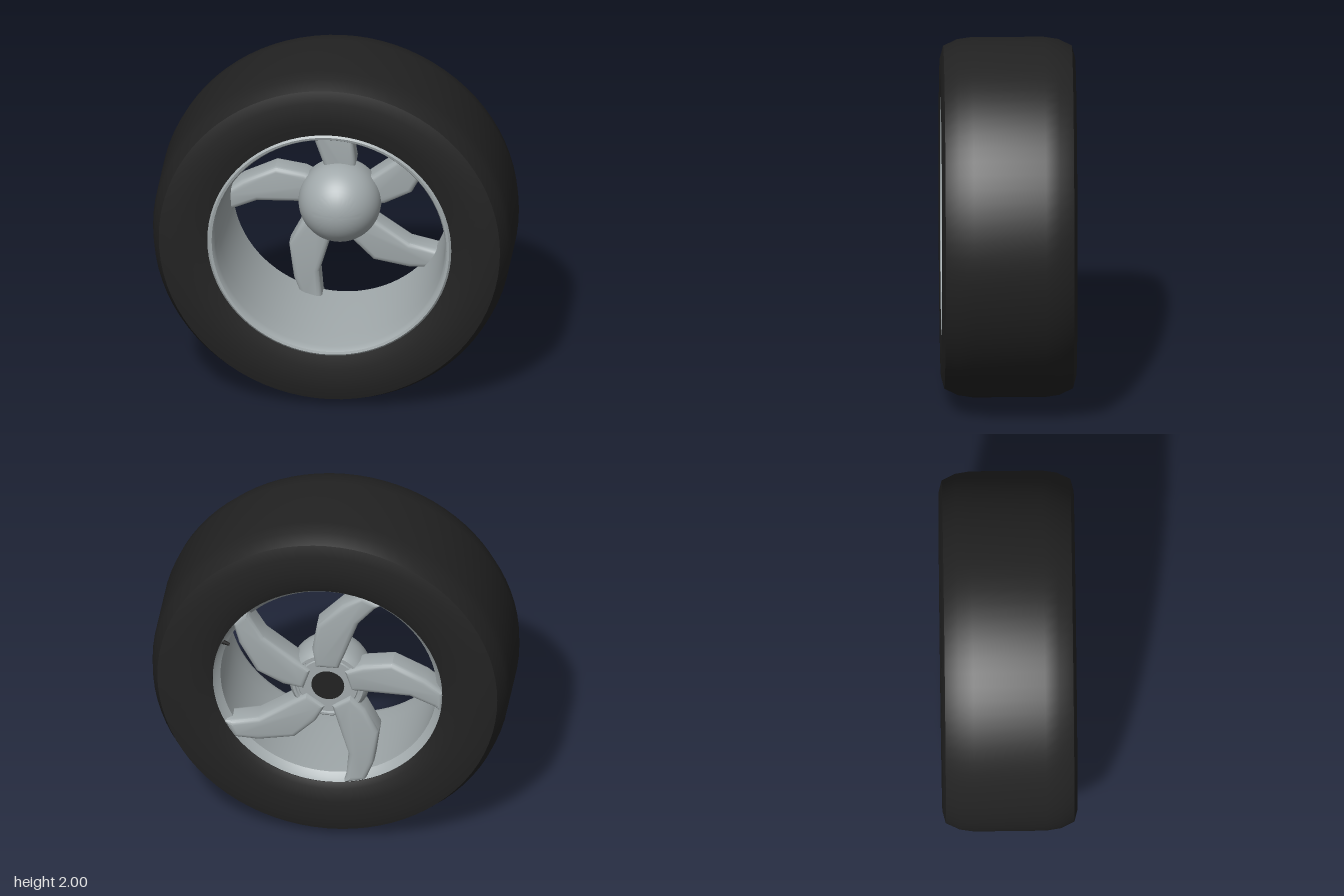
import * as THREE from 'three';
import { toCreasedNormals } from 'three/addons/utils/BufferGeometryUtils.js';

const rubber = new THREE.MeshStandardMaterial({ color: 0x222222 });
rubber.name = 'black rubber';
const alloy = new THREE.MeshStandardMaterial({ color: 0xa1a9ab });
alloy.name = 'grey alloy';

// Spin a profile of [radius, z] points around the z axis
function spin(name, profile, material, crease = 0.6) {
  const points = profile.map(([r, z]) => new THREE.Vector2(r, z));
  const geometry = new THREE.LatheGeometry(points, 80).rotateX(Math.PI / 2);
  const mesh = new THREE.Mesh(toCreasedNormals(geometry, crease), material);
  mesh.name = name;
  return mesh;
}

// Curved spoke outline with chamfered edges, pointing up from the hub
function spokeGeometry() {
  const outline = [
    [0.07, 0.12], [0.088, 0.235], [0.062, 0.40], [-0.08, 0.55], [-0.19, 0.622],
    [-0.31, 0.572], [-0.265, 0.54], [-0.17, 0.43], [-0.096, 0.22], [-0.06, 0.12],
  ].map(([x, y]) => new THREE.Vector2(x, y));
  const bevel = 0.028;
  const geometry = new THREE.ExtrudeGeometry(new THREE.Shape(outline), {
    depth: 0.15 - 2 * bevel, bevelEnabled: true, bevelThickness: bevel,
    bevelSize: bevel, bevelOffset: -bevel, bevelSegments: 3,
  });
  geometry.translate(0, 0, -0.355 + bevel);
  return toCreasedNormals(geometry, 0.6);
}

export function createModel() {
  const model = new THREE.Group();
  model.name = 'wheel';
  const wheel = new THREE.Group();
  wheel.name = 'wheelAssembly';
  wheel.position.y = 1;
  model.add(wheel);

  // Tyre: rounded shoulders and nearly flat sidewalls
  wheel.add(spin('tyre', [
    [0.643, -0.30], [0.643, -0.35], [0.68, -0.365], [0.76, -0.375], [0.885, -0.375],
    [0.952, -0.357], [0.988, -0.28], [1, -0.2], [1, 0.2], [0.988, 0.28],
    [0.952, 0.357], [0.885, 0.375], [0.76, 0.375], [0.68, 0.36], [0.68, 0.30],
  ], rubber, 0.8));

  // Rim: rolled front lip, tapered barrel, small flare at the back
  wheel.add(spin('rim', [
    [0.665, -0.30], [0.682, 0.33], [0.681, 0.36], [0.67, 0.37], [0.656, 0.366],
    [0.647, 0.35], [0.642, 0.32], [0.632, 0.2], [0.606, -0.27], [0.606, -0.30],
    [0.63, -0.325], [0.643, -0.347], [0.65, -0.33], [0.665, -0.30],
  ], alloy));

  // Hub: stepped back face, short barrel and domed front
  const hub = [
    [0, -0.335], [0.165, -0.335], [0.17, -0.328], [0.18, -0.328], [0.185, -0.338],
    [0.198, -0.338], [0.215, -0.318], [0.228, -0.28], [0.23, -0.21],
  ];
  for (let i = 1; i <= 14; i++) {
    const a = (i / 14) * Math.PI / 2;
    hub.push([Math.max(0, 0.23 * Math.cos(a)), -0.21 + 0.23 * Math.sin(a)]);
  }
  wheel.add(spin('hub', hub, alloy));

  // Dark axle bore on the back of the hub
  const bore = new THREE.Mesh(new THREE.CylinderGeometry(0.092, 0.092, 0.008, 40), rubber);
  bore.name = 'axleBore';
  bore.rotation.x = Math.PI / 2;
  bore.position.z = -0.335;
  wheel.add(bore);

  // Five swept spokes
  const spoke = spokeGeometry();
  for (let i = 0; i < 5; i++) {
    const mesh = new THREE.Mesh(spoke, alloy);
    mesh.name = 'spoke' + (i + 1);
    mesh.rotation.z = (i * Math.PI * 2) / 5;
    wheel.add(mesh);
  }

  // Small valve stem just inside the back of the rim
  const valve = new THREE.Mesh(new THREE.CylinderGeometry(0.008, 0.016, 0.05, 10), rubber);
  valve.name = 'valveStem';
  valve.position.set(0.575, 0.225, -0.325);
  valve.rotation.z = Math.PI / 2 + 0.37;
  wheel.add(valve);

  return model;
}
